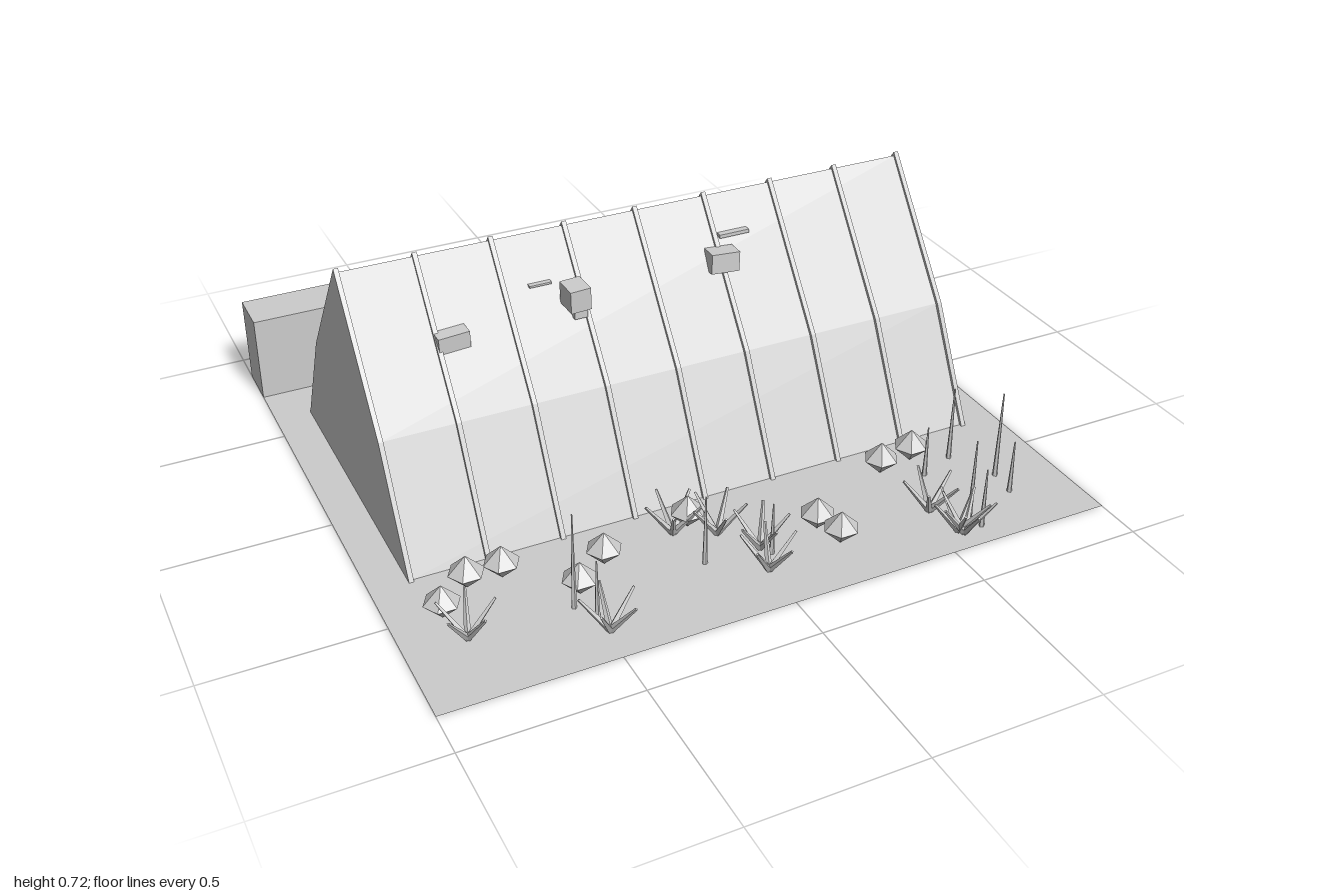
import * as THREE from 'three';

const grey = new THREE.MeshStandardMaterial({ color: 0xcccccc, side: THREE.DoubleSide, flatShading: true });
grey.name = 'plain grey';

function add(parent, name, geometry, x = 0, y = 0, z = 0) {
  const mesh = new THREE.Mesh(geometry, grey);
  mesh.name = name;
  mesh.position.set(x, y, z);
  parent.add(mesh);
  return mesh;
}

// Extrudes a (z, y) outline along x, centred on x = 0
function extrudeAlongX(points, width) {
  const shape = new THREE.Shape(points.map(([z, y]) => new THREE.Vector2(-z, y)));
  const geometry = new THREE.ExtrudeGeometry(shape, { depth: width, bevelEnabled: false });
  return geometry.translate(0, 0, -width / 2).rotateY(Math.PI / 2);
}

export function createModel() {
  const model = new THREE.Group();
  model.name = 'greenhouse garden';

  // Ground and back wall
  add(model, 'ground', new THREE.PlaneGeometry(2, 1.755).rotateX(-Math.PI / 2), 0, 0.001, -0.0125);
  add(model, 'backWall', new THREE.BoxGeometry(2, 0.27, 0.145), 0, 0.135, -0.8175);

  // Steep shelter with a knee halfway up each slope
  const body = [[0.335, 0.001], [0.157, 0.336], [-0.127, 0.712], [-0.411, 0.336], [-0.589, 0.001]];
  const rib = [[0.346, 0], [0.166, 0.341], [-0.127, 0.724], [-0.42, 0.341], [-0.6, 0]];
  add(model, 'shelter', extrudeAlongX(body, 1.766));
  const ribGeometry = extrudeAlongX(rib, 0.014);
  for (let i = 0; i < 9; i++) add(model, 'rib', ribGeometry, -0.884 + i * 0.221);

  // Blocks lodged in the roof: [x, y, z, width, height, depth, tilt]
  const blocks = [
    [-0.622, 0.517, 0.01, 0.092, 0.05, 0.07, 0.04],
    [-0.258, 0.574, 0.035, 0.062, 0.068, 0.074, 0.03],
    [0.22, 0.562, 0, 0.088, 0.06, 0.058, -0.05],
    [0.11, 0.533, -0.283, 0.09, 0.065, 0.065, 0.04],
  ];
  for (const [x, y, z, w, h, d, tilt] of blocks) {
    add(model, 'roofBlock', new THREE.BoxGeometry(w, h, d), x, y, z).rotation.set(tilt, tilt, tilt);
  }

  // Small planks lying across the slopes: [x, y, z, width, height, depth]
  const planks = [
    [-0.337, 0.595, -0.035, 0.066, 0.006, 0.02],
    [0.28, 0.615, -0.047, 0.095, 0.011, 0.02],
    [-0.246, 0.514, 0.02, 0.04, 0.024, 0.05],
    [-0.267, 0.545, -0.255, 0.04, 0.014, 0.02],
    [0.277, 0.485, -0.305, 0.085, 0.008, 0.02],
  ];
  for (const [x, y, z, w, h, d] of planks) add(model, 'roofPlank', new THREE.BoxGeometry(w, h, d), x, y, z);

  // Faceted round bushes
  const bushGeometry = new THREE.SphereGeometry(0.052, 6, 2);
  const bushes = [[-0.86, 0.525], [-0.76, 0.435], [-0.66, 0.435], [-0.39, 0.5], [-0.5, 0.59],
    [-0.11, 0.445], [0.21, 0.61], [0.235, 0.695], [0.515, 0.455], [0.63, 0.435]];
  for (const [x, z] of bushes) add(model, 'bush', bushGeometry, x, 0.058, z);

  // Spiky tufts of five outward-leaning blades
  const bladeGeometry = new THREE.CylinderGeometry(0.004, 0.01, 0.13, 4).translate(0, 0.065, 0).rotateZ(-0.66);
  const tufts = [[-0.83, 0.63], [-0.49, 0.76], [-0.16, 0.455], [-0.05, 0.51], [0.025, 0.62],
    [0, 0.715], [0.54, 0.675], [0.56, 0.79], [0.57, 0.805]];
  tufts.forEach(([x, z], n) => {
    const tuft = new THREE.Group();
    tuft.name = 'tuft';
    tuft.position.set(x, 0.006, z);
    for (let i = 0; i < 5; i++) {
      add(tuft, 'blade', bladeGeometry).rotation.y = n * 0.25 + i * Math.PI * 0.4;
    }
    model.add(tuft);
  });

  // Upright reeds: [x, z, height]
  const reeds = [[-0.535, 0.63, 0.3], [-0.495, 0.69, 0.18], [-0.14, 0.61, 0.22], [0.045, 0.65, 0.165],
    [0.625, 0.75, 0.26], [0.635, 0.795, 0.19], [0.63, 0.515, 0.165], [0.745, 0.47, 0.24],
    [0.805, 0.69, 0.17], [0.815, 0.605, 0.28]];
  for (const [x, z, h] of reeds) {
    add(model, 'reed', new THREE.CylinderGeometry(0.002, 0.008, h, 5), x, h / 2, z);
  }
  return model;
}
